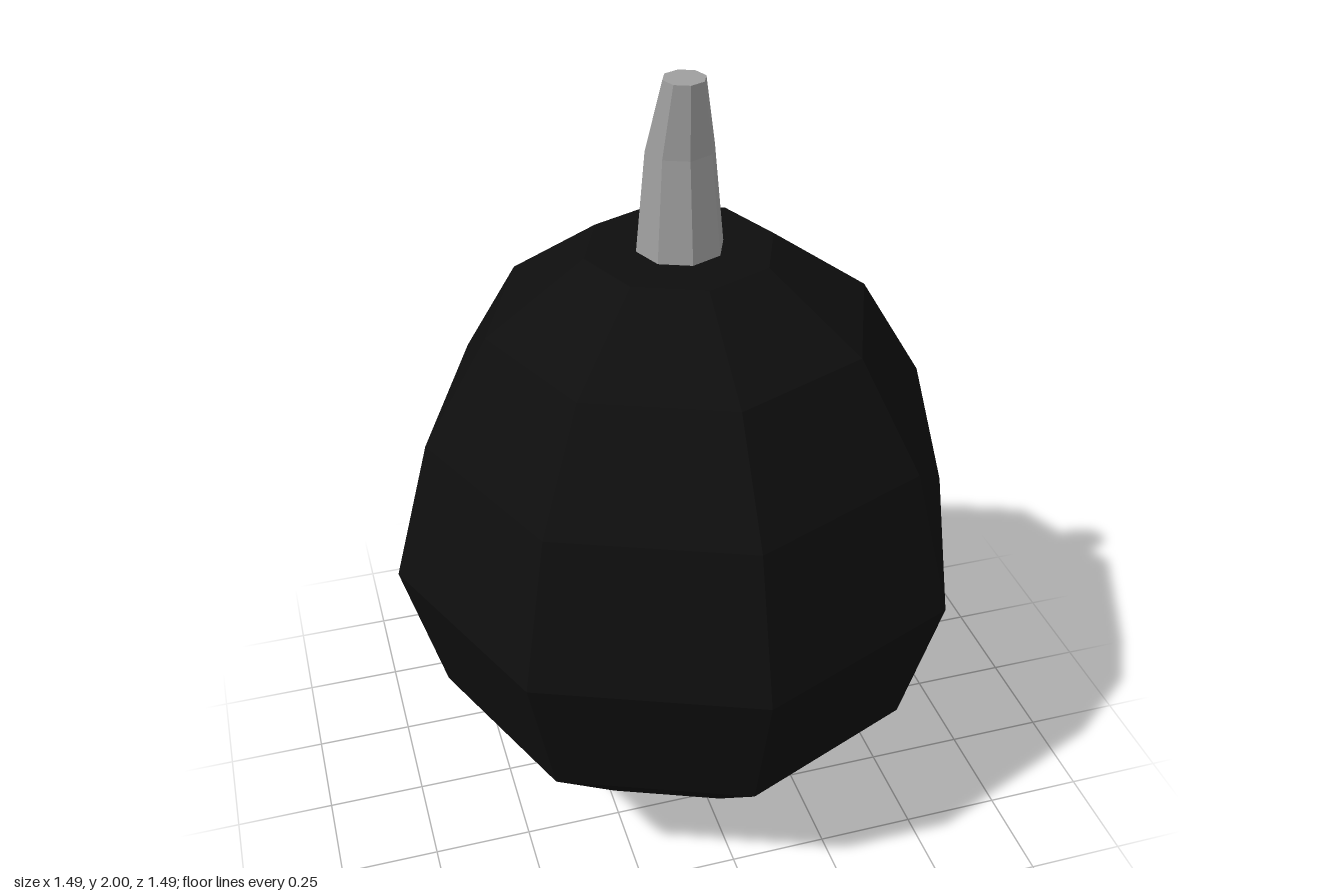
import * as THREE from 'three';

const SIDES = 8;

// Faceted solid of revolution from a bottom-to-top list of [radius, height]
function turned(name, profile, material) {
  const points = profile.map(([r, y]) => new THREE.Vector2(r, y));
  const mesh = new THREE.Mesh(new THREE.LatheGeometry(points, SIDES), material);
  mesh.name = name;
  return mesh;
}

export function createModel() {
  const black = new THREE.MeshStandardMaterial({ color: 0x0e0e0e, flatShading: true });
  black.name = 'black';
  const grey = new THREE.MeshStandardMaterial({ color: 0x9e9e9e, flatShading: true });
  grey.name = 'grey';

  const model = new THREE.Group();
  model.name = 'roundBodyWithStem';

  // Round body with a pointed base and a flat top
  model.add(turned('body', [
    [0, 0], [0.372, 0.1], [0.645, 0.375], [0.745, 0.75],
    [0.645, 1.12], [0.48, 1.395], [0.235, 1.57], [0, 1.57],
  ], black));

  // Tapered stem, its tip bent towards the front
  const stem = turned('stem', [[0.108, 1.57], [0.084, 1.82], [0.051, 2], [0, 2]], grey);
  const position = stem.geometry.attributes.position;
  for (let i = 0; i < position.count; i++) {
    if (position.getY(i) > 1.9) position.setZ(i, position.getZ(i) + 0.035);
  }
  stem.geometry.computeVertexNormals();
  model.add(stem);

  return model;
}
